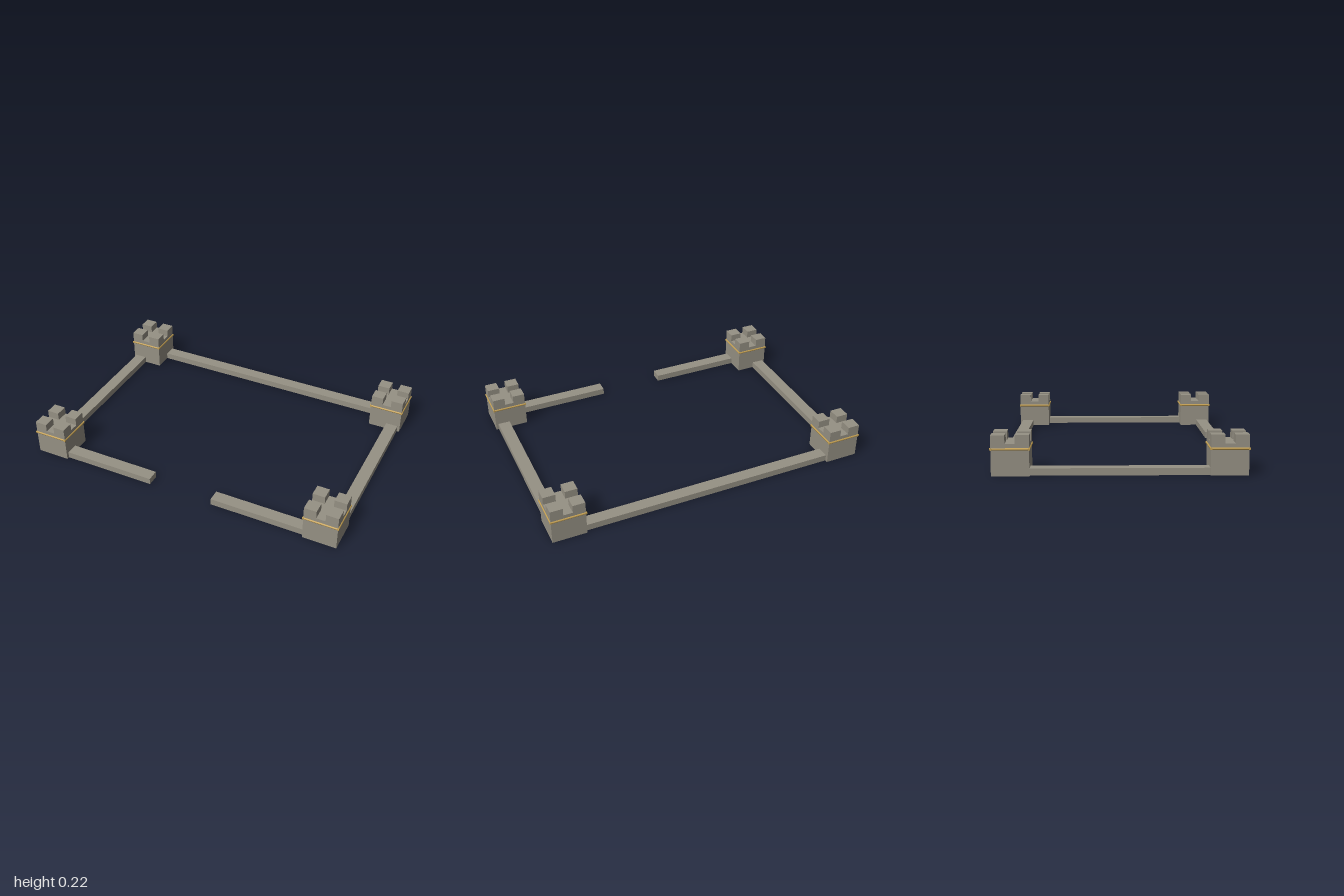
import * as THREE from 'three';

const stone = new THREE.MeshStandardMaterial({ color: 0x969184, side: THREE.DoubleSide });
stone.name = 'stone';
const gold = new THREE.MeshStandardMaterial({ color: 0xc4a052 });
gold.name = 'gold';

const TOWER = { x: 0.892, z: 0.586, size: 0.205, height: 0.175 };
const WALL = { x: 0.942, z: 0.633, thick: 0.075, height: 0.04 };

// Box standing on y = 0 with its underside left open
function openBox(w, h, d) {
  const g = new THREE.BoxGeometry(w, h, d);
  const index = Array.from(g.index.array);
  index.splice(18, 6);
  g.setIndex(index);
  g.clearGroups();
  g.translate(0, h / 2, 0);
  return g;
}

function add(parent, name, geometry, material, x, y, z) {
  const mesh = new THREE.Mesh(geometry, material);
  mesh.name = name;
  mesh.position.set(x, y, z);
  parent.add(mesh);
  return mesh;
}

function makeTower() {
  const tower = new THREE.Group();
  tower.name = 'cornerTower';
  const { size, height } = TOWER;
  add(tower, 'towerBody', openBox(size, height, size), stone, 0, 0, 0);

  // Four corner battlements
  const m = 0.075, off = (size - m) / 2;
  for (const sx of [-1, 1]) for (const sz of [-1, 1]) {
    add(tower, 'battlement', openBox(m, 0.047, m), stone, sx * off, height, sz * off);
  }

  // Gold rods along the four faces
  const rod = new THREE.CylinderGeometry(0.0065, 0.0065, size + 0.011, 8);
  for (let i = 0; i < 4; i++) {
    const side = new THREE.Group();
    side.name = 'trimSide';
    side.rotation.y = i * Math.PI / 2;
    add(side, 'goldTrim', rod, gold, 0, 0.146, size / 2 - 0.0005).rotation.z = Math.PI / 2;
    tower.add(side);
  }
  return tower;
}

export function createModel() {
  const model = new THREE.Group();
  model.name = 'fortress';

  for (const sx of [-1, 1]) for (const sz of [-1, 1]) {
    const tower = makeTower();
    tower.position.set(sx * TOWER.x, 0, sz * TOWER.z);
    model.add(tower);
  }

  // Walls between towers, with a gate gap at the front
  const innerX = TOWER.x - TOWER.size / 2 + 0.004;
  const innerZ = TOWER.z - TOWER.size / 2 + 0.004;
  const { thick, height } = WALL;
  add(model, 'backWall', openBox(innerX * 2, height, thick), stone, 0, 0, -WALL.z);
  const gate = 0.205;
  for (const s of [-1, 1]) {
    add(model, 'sideWall', openBox(thick, height, innerZ * 2), stone, s * WALL.x, 0, 0);
    add(model, 'frontWall', openBox(innerX - gate, height, thick), stone, s * (innerX + gate) / 2, 0, WALL.z);
  }
  return model;
}
